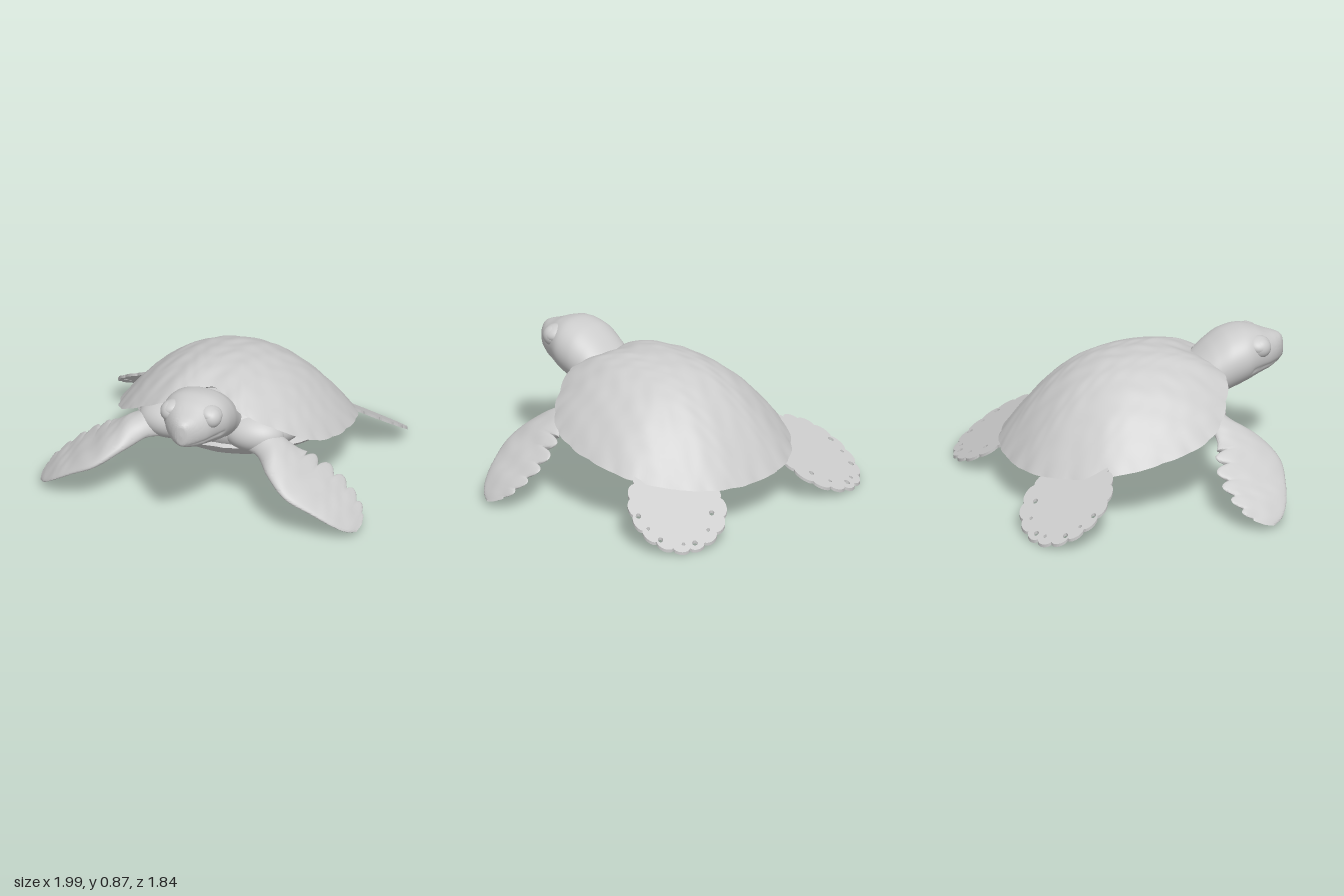
import * as THREE from 'three';
import { mergeVertices, toCreasedNormals } from 'three/addons/utils/BufferGeometryUtils.js';

const skin = new THREE.MeshStandardMaterial({ color: 0xcccccc, side: THREE.DoubleSide });
skin.name = 'light grey';

const V = (x, y, z) => new THREE.Vector3(x, y, z);
const MID = 0.035; // shell and head sit slightly off the limb centre line
const { sin, cos, abs, max, PI } = Math;

// small uneven skin relief
const bump = (x, z) => 0.0018 * (sin(43 * x + 17 * z) + sin(39 * z - 23 * x + 2 * sin(19 * x)) * sin(31 * x + 9 * z));

// surface from a rule f(u, v) -> Vector3
function loft(nu, nv, f, flip = false) {
  const pos = [], idx = [];
  for (let i = 0; i <= nu; i++)
    for (let j = 0; j <= nv; j++) pos.push(...f(i / nu, j / nv).toArray());
  for (let i = 0; i < nu; i++)
    for (let j = 0; j < nv; j++) {
      const a = i * (nv + 1) + j, b = a + nv + 1;
      if (flip) idx.push(a, b + 1, b, a, a + 1, b + 1);
      else idx.push(a, b, b + 1, a, b + 1, a + 1);
    }
  const g = new THREE.BufferGeometry();
  g.setAttribute('position', new THREE.Float32BufferAttribute(pos, 3));
  g.setIndex(idx);
  return toCreasedNormals(mergeVertices(g, 1e-5), 1.0);
}

function part(name, geometry) {
  const m = new THREE.Mesh(geometry, skin);
  m.name = name;
  return m;
}

// domed upper shell with a neck notch and a scalloped rim
function carapace() {
  const half = [
    [0, 0.735, 0.35], [0.1, 0.715, 0.395], [0.19, 0.67, 0.465], [0.27, 0.64, 0.475],
    [0.41, 0.565, 0.42], [0.53, 0.49, 0.345], [0.615, 0.43, 0.24], [0.665, 0.39, 0.1],
    [0.69, 0.355, -0.08], [0.68, 0.32, -0.28], [0.625, 0.29, -0.44], [0.5, 0.255, -0.6],
    [0.36, 0.235, -0.715], [0.2, 0.222, -0.78], [0, 0.215, -0.8],
  ];
  const other = half.slice(1, -1).reverse().map(([x, y, z]) => [-x, y, z]);
  const rim = new THREE.CatmullRomCurve3([...half, ...other].map(p => V(...p)), true);
  const cz = -0.13;
  return loft(60, 224, (u, v) => {
    const under = u > 0.601;
    const r = under ? (1 - u) / 0.4 : u / 0.6;
    const p = rim.getPoint(v % 1);
    const k = r * (1 + 0.012 * r ** 20 * (abs(sin(v * 28 * PI)) - 0.5));
    const x = p.x * k, z = cz + (p.z - cz) * k;
    const y = 0.785 + 0.16 * (p.z - cz) * r * (1 - r * r) - (0.785 - p.y) * r ** 2.2;
    return V(x + MID, y + bump(x, z) - (under ? 0.025 : 0), z);
  });
}

// rounded belly whose upper wall closes inside the shell
function belly() {
  return loft(30, 96, (u, v) => {
    const a = v * 2 * PI, c = cos(a);
    const edge = 0.37 - 0.13 * max(0, -c) ** 1.3;
    const wall = u < 0.2;
    const r = wall ? 0.85 + 0.15 * (u / 0.2) : (1 - u) / 0.8;
    const y = wall ? edge + 0.14 * (1 - u / 0.2) : 0.15 + (edge - 0.15) * r ** 2.4;
    const x = 0.62 * sin(a) * r, z = -0.15 + 0.56 * c * r;
    return V(x + MID, y + bump(x, z), z);
  });
}

// neck, skull and beak from sections: z, half width, top, bottom
function head() {
  const sections = [
    [0.15, 0.2, 0.56, 0.34], [0.34, 0.185, 0.68, 0.39], [0.45, 0.195, 0.775, 0.455],
    [0.55, 0.21, 0.835, 0.49], [0.65, 0.205, 0.855, 0.525], [0.74, 0.165, 0.84, 0.555],
    [0.81, 0.13, 0.81, 0.575], [0.86, 0.095, 0.792, 0.597], [0.895, 0.062, 0.776, 0.615],
    [0.914, 0.034, 0.755, 0.633], [0.92, 0, 0.695, 0.695],
  ];
  const size = new THREE.CatmullRomCurve3(sections.map(s => V(s[1], s[2], s[3])));
  const along = new THREE.CatmullRomCurve3(sections.map(s => V(s[0], 0, 0)));
  return loft(60, 72, (u, v) => {
    const a = v * 2 * PI, s = size.getPoint(u), z = along.getPoint(u).x;
    const y = (s.y + s.z) / 2 + cos(a) * (s.y - s.z) / 2;
    // shallow mouth groove
    const groove = z > 0.68 ? 1 - 0.06 * Math.exp(-(((y - 0.63) / 0.009) ** 2)) : 1;
    return V(MID + Math.sign(sin(a)) * abs(sin(a)) ** 0.85 * max(0, s.x) * groove, y, z);
  });
}

// front flipper: leading edge, trailing edge and thickness along its span
function frontFlipper(side) {
  const lead = new THREE.CatmullRomCurve3([
    V(0.24, 0.44, 0.4), V(0.37, 0.41, 0.47), V(0.46, 0.35, 0.59), V(0.6, 0.25, 0.675),
    V(0.75, 0.165, 0.655), V(0.87, 0.085, 0.615), V(0.945, 0.03, 0.56), V(0.985, 0.008, 0.5)]);
  const trail = new THREE.CatmullRomCurve3([
    V(0.22, 0.46, 0.22), V(0.42, 0.45, 0.29), V(0.55, 0.39, 0.3), V(0.65, 0.335, 0.25),
    V(0.77, 0.25, 0.23), V(0.88, 0.165, 0.26), V(0.965, 0.085, 0.325), V(0.998, 0.03, 0.42)]);
  const thick = new THREE.CatmullRomCurve3(
    [0.1, 0.08, 0.062, 0.045, 0.034, 0.025, 0.016, 0.004].map(t => V(t, 0, 0)));
  return loft(120, 40, (u, v) => {
    const a = v * 2 * PI, w = (1 - cos(a)) / 2;
    const A = lead.getPoint(u), B = trail.getPoint(u), t = thick.getPoint(u).x;
    // scallops along the trailing edge
    const notch = u > 0.36 ? 0.16 * (1 - abs(sin((u - 0.36) / 0.64 * 6 * PI)) ** 0.6) : 0;
    const p = A.lerp(B, w * (1 - notch * w ** 3));
    const h = t * sin(a) * (1 - 0.35 * w) + bump(p.x, p.z) * sin(a);
    return V(side * (p.x + 0.55 * h), max(0, p.y + 0.83 * h), p.z);
  }, side < 0);
}

// rear flipper: thin fan sloping back and outward, with a lobed edge and small holes
function rearFlipper(side) {
  const ring = (n, f) => Array.from({ length: n }, (_, i) => f(i / n * 2 * PI));
  const at = (a, k) => new THREE.Vector2(side * (0.6 + 0.29 * k * cos(a)), 0.655 + 0.265 * k * sin(a));
  const fan = new THREE.Shape(ring(160, a =>
    at(a, 0.93 + 0.07 * abs(sin(a * 8)) ** 0.6 + 0.14 * max(0, cos(a - 2.6)) ** 4)));
  [[-0.35, 0.83], [0.05, 0.8], [0.45, 0.84], [1.05, 0.82], [1.35, 0.85], [1.9, 0.82], [2.4, 0.8]]
    .forEach(([a, k], i) => {
      const c = at(a, k), r = i % 2 ? 0.012 : 0.018;
      fan.holes.push(new THREE.Path(ring(10, b =>
        new THREE.Vector2(c.x + r * cos(b), c.y + r * 0.8 * sin(b)))));
    });
  const g = new THREE.ExtrudeGeometry(fan, { depth: 0.018, bevelEnabled: false });
  g.rotateX(-PI / 2);
  const p = g.attributes.position;
  for (let i = 0; i < p.count; i++)
    p.setY(i, p.getY(i) + 0.193 - 0.25 * (side * p.getX(i) - 0.6) + 0.62 * (p.getZ(i) + 0.6));
  g.computeVertexNormals();
  return g;
}

function ellipsoid(name, c, r) {
  const m = part(name, new THREE.SphereGeometry(1, 40, 28));
  m.position.set(...c);
  m.scale.set(...r);
  return m;
}

export function createModel() {
  const turtle = new THREE.Group();
  turtle.name = 'turtle';
  turtle.add(
    part('carapace', carapace()), part('belly', belly()), part('head', head()),
    ellipsoid('chest', [MID, 0.47, 0.2], [0.5, 0.175, 0.22]),
  );
  for (const [label, s] of [['left', 1], ['right', -1]]) {
    turtle.add(
      part(label + 'FrontFlipper', frontFlipper(s)),
      part(label + 'RearFlipper', rearFlipper(s)),
      ellipsoid(label + 'Shoulder', [MID / 2 + s * 0.26, 0.46, 0.31], [0.19, 0.115, 0.14]),
    );
    // bulging eye under a heavy lid
    const eye = ellipsoid(label + 'Eye', [MID + s * 0.128, 0.752, 0.735], [0.06, 0.062, 0.066]);
    const lid = ellipsoid(label + 'Eyelid', [MID + s * 0.122, 0.772, 0.725], [0.068, 0.045, 0.072]);
    lid.rotation.z = -s * 0.35;
    turtle.add(eye, lid);
  }
  return turtle;
}
